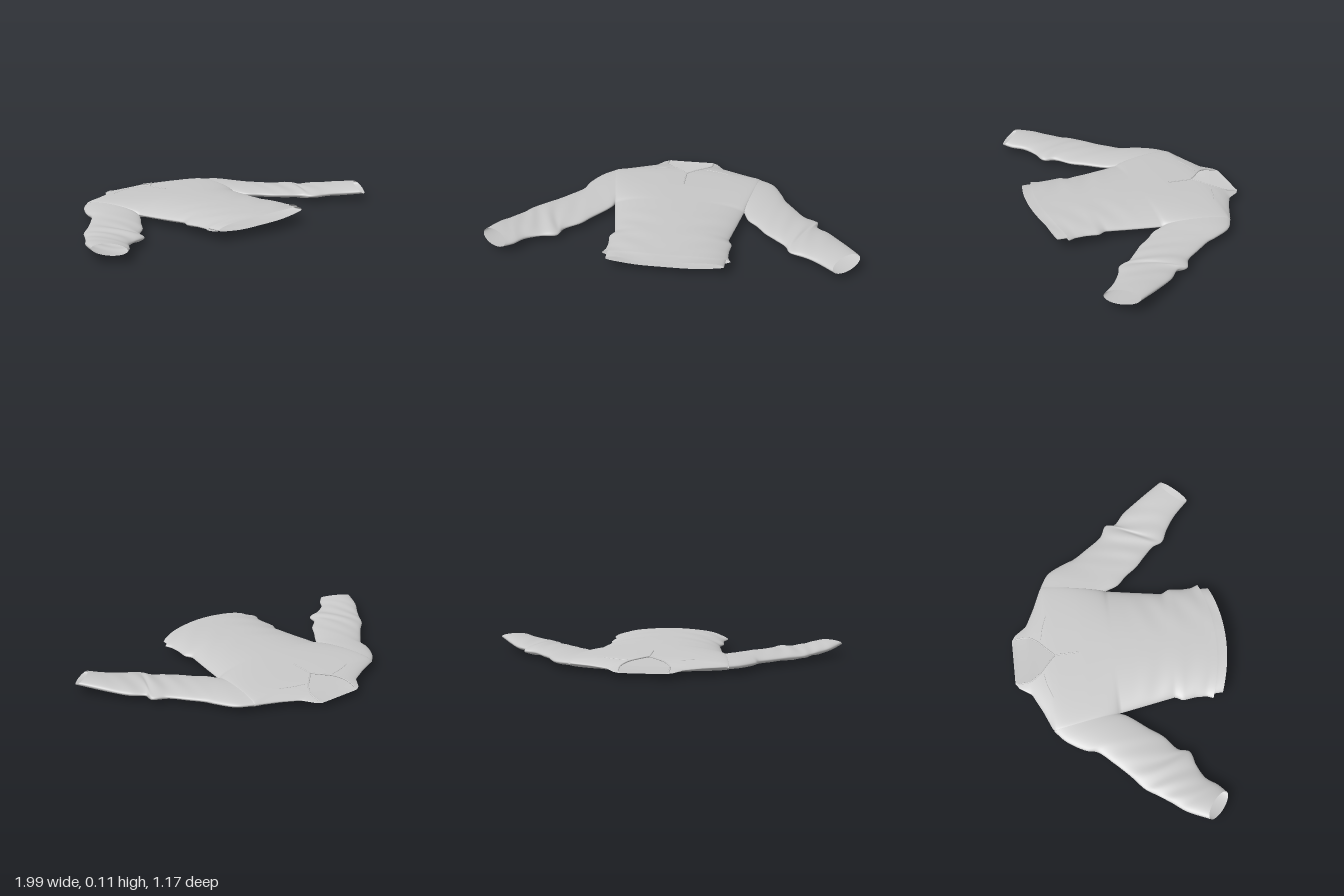
import * as THREE from 'three';
import { mergeGeometries, mergeVertices } from 'three/addons/utils/BufferGeometryUtils.js';

const cloth = new THREE.MeshStandardMaterial({ color: 0xc8c8c8, side: THREE.DoubleSide });
cloth.name = 'light grey cloth';

// Surface through a grid of points fn(row, col)
function sheet(rows, cols, fn, flip) {
  const pos = [], idx = [];
  for (let r = 0; r <= rows; r++) for (let c = 0; c <= cols; c++) pos.push(...fn(r, c));
  for (let r = 0; r < rows; r++) for (let c = 0; c < cols; c++) {
    const a = r * (cols + 1) + c, b = a + cols + 1, d = a + 1, e = b + 1;
    if (flip) idx.push(a, d, b, d, e, b);
    else idx.push(a, b, d, b, e, d);
  }
  const g = new THREE.BufferGeometry();
  g.setAttribute('position', new THREE.Float32BufferAttribute(pos, 3));
  g.setIndex(idx);
  return g;
}
function smooth(parts) {
  const g = mergeVertices(mergeGeometries(parts), 1e-4);
  g.computeVertexNormals();
  return g;
}
function mesh(name, geometry) {
  const m = new THREE.Mesh(geometry, cloth);
  m.name = name;
  return m;
}

// Torso stations: z, half width, neck opening half width, top y, bottom y, side edge y
const stations = [
  [-0.585, 0.125, 0.115, 0.032, 0.030, 0.031],
  [-0.565, 0.155, 0.130, 0.040, 0.027, 0.033],
  [-0.50, 0.200, 0.128, 0.058, 0.022, 0.038],
  [-0.45, 0.300, 0.098, 0.070, 0.017, 0.042],
  [-0.40, 0.420, 0.045, 0.078, 0.013, 0.043],
  [-0.355, 0.4125, 0, 0.082, 0.009, 0.043],
  [-0.20, 0.3867, 0, 0.092, 0.001, 0.043],
  [-0.04, 0.360, 0, 0.100, 0.002, 0.043],
  [0.10, 0.335, 0, 0.105, 0.006, 0.046],
  [0.27, 0.305, 0, 0.109, 0.014, 0.052],
  [0.31, 0.327, 0, 0.110, 0.016, 0.053],
  [0.38, 0.318, 0, 0.111, 0.021, 0.056],
  [0.44, 0.320, 0, 0.111, 0.025, 0.058],
  [0.475, 0.335, 0, 0.112, 0.028, 0.060],
];
const hemStations = [
  [0.455, 0.310, 0, 0.107, 0.031, 0.060],
  [0.485, 0.309, 0, 0.106, 0.032, 0.060],
  [0.530, 0.308, 0, 0.107, 0.035, 0.062],
];
function at(table, z) {
  let i = 0;
  while (i < table.length - 2 && z > table[i + 1][0]) i++;
  const t = THREE.MathUtils.clamp((z - table[i][0]) / (table[i + 1][0] - table[i][0]), 0, 1);
  return table[i].map((v, k) => v + (table[i + 1][k] - v) * t);
}
// Height of the cloth; the side edges stay open by the armhole depth
function height(st, x, z, up) {
  const [, w, , T, B, M] = st;
  const s = Math.min(1, Math.abs(x) / w);
  const hole = 0.029 * Math.sqrt(Math.max(0, 1 - ((z + 0.22) / 0.18) ** 2));
  const edge = up ? M + hole : M - hole;
  const dome = Math.pow(Math.max(0, 1 - Math.pow(s, 2.4)), 0.6);
  const fold = 0.003 * Math.sin(z * 42 + s * 5) * s * s * (1 - s) * 4
    * THREE.MathUtils.smoothstep(z, 0, 0.25);
  return edge + ((up ? T : B) - edge) * dome + fold;
}
const bow = (z, s) => 0.055 * (1 - s * s) * THREE.MathUtils.smoothstep(z, 0.15, 0.5);

function torsoShell(table, rows) {
  const z0 = table[0][0], z1 = table[table.length - 1][0], half = 24;
  const point = (up) => (r, c) => {
    const z = z0 + (z1 - z0) * r / rows, st = at(table, z);
    // the centre column is doubled so the front can part at the neck
    const left = c <= half;
    const k = left ? (half - c) / half : (c - half - 1) / half;
    const n = up ? st[2] : 0;
    const x = (left ? -1 : 1) * (n + Math.sin(k * Math.PI / 2) * (st[1] - n));
    const s = x / st[1];
    return [x, height(st, x, z, up), z + (up ? bow(z, s) : 0)];
  };
  // front in two halves, back in one piece
  const cols = half * 2 + 1, front = point(true);
  return smooth([
    sheet(rows, half, front, false),
    sheet(rows, half, (r, c) => front(r, c + half + 1), false),
    sheet(rows, cols, point(false), true),
  ]);
}

// Sleeve rings: outer x, outer z, inner x, inner z, middle y, half thickness
const leftRings = [
  [0.42, -0.40, 0.36, -0.04, 0.043, 0.029],
  [0.50, -0.35, 0.37, -0.01, 0.042, 0.029],
  [0.555, -0.25, 0.39, 0.035, 0.040, 0.028],
  [0.575, -0.20, 0.44, 0.085, 0.039, 0.028],
  [0.63, -0.12, 0.49, 0.15, 0.038, 0.027],
  [0.70, -0.03, 0.545, 0.20, 0.038, 0.028],
  [0.765, 0.005, 0.605, 0.26, 0.038, 0.030],
  [0.765, 0.055, 0.63, 0.315, 0.039, 0.026],
  [0.83, 0.115, 0.70, 0.35, 0.043, 0.028],
  [0.90, 0.21, 0.78, 0.405, 0.051, 0.027],
  [0.99, 0.345, 0.86, 0.485, 0.064, 0.021],
];
const rightRings = [
  [0.42, -0.40, 0.36, -0.04, 0.043, 0.029],
  [0.485, -0.34, 0.37, -0.01, 0.042, 0.029],
  [0.545, -0.24, 0.40, 0.035, 0.040, 0.028],
  [0.56, -0.18, 0.46, 0.11, 0.039, 0.028],
  [0.63, -0.10, 0.51, 0.18, 0.038, 0.027],
  [0.71, -0.02, 0.59, 0.25, 0.038, 0.028],
  [0.79, 0.05, 0.61, 0.31, 0.038, 0.030],
  [0.83, 0.11, 0.69, 0.335, 0.041, 0.026],
  [0.88, 0.18, 0.765, 0.375, 0.046, 0.028],
  [0.935, 0.25, 0.81, 0.435, 0.053, 0.027],
  [0.99, 0.365, 0.855, 0.475, 0.064, 0.021],
];
function sleeve(rings, side) {
  const path = (k) => new THREE.CatmullRomCurve3(
    rings.map((q) => new THREE.Vector3(q[k], q[k + 1], 0)), false, 'centripetal');
  const outer = path(0), inner = path(2), body = path(4);
  const rows = 90, cols = 40;
  const g = sheet(rows, cols, (r, c) => {
    const u = r / rows, a = (c % cols) / cols * Math.PI * 2;
    const o = outer.getPoint(u), i = inner.getPoint(u), b = body.getPoint(u);
    const ca = Math.cos(a), sa = Math.sin(a);
    const cuff = THREE.MathUtils.smoothstep(u, 0.82, 1);
    // diagonal creases gather around the elbow
    const crease = Math.sin(u * 46 + ca * 3) * 0.0035 * Math.exp(-(((u - 0.62) / 0.2) ** 2)) * sa;
    // the cuff mouth leans back so that it opens upwards
    const lean = -0.03 * cuff * sa;
    return [
      side * ((o.x + i.x) / 2 + ca * (o.x - i.x) / 2 + lean * 0.7),
      b.x + sa * b.y + crease + cuff * ca * 0.008,
      (o.y + i.y) / 2 + ca * (o.y - i.y) / 2 + lean * 0.7,
    ];
  }, side > 0);
  return smooth([g]);
}

// Stitching laid on the front of the torso
function stitch(name, points, radius) {
  const curve = new THREE.CatmullRomCurve3(points.map(([x, z]) =>
    new THREE.Vector3(x, height(at(stations, z), x, z, true), z)));
  return mesh(name, new THREE.TubeGeometry(curve, 32, radius, 6));
}

export function createModel() {
  const model = new THREE.Group();
  model.name = 'pullover';
  model.add(mesh('torso', torsoShell(stations, 106)));
  model.add(mesh('hemBand', torsoShell(hemStations, 10)));
  model.add(mesh('leftSleeve', sleeve(leftRings, 1)));
  model.add(mesh('rightSleeve', sleeve(rightRings, -1)));
  for (const [side, name] of [[1, 'left'], [-1, 'right']]) {
    const neck = stations.slice(1, 6).map((st) => [side * st[2], st[0]]);
    model.add(stitch(name + 'CollarEdge', neck, 0.004));
    model.add(stitch(name + 'YokeSeam',
      [[side * 0.1, -0.425], [side * 0.17, -0.41], [side * 0.24, -0.385]], 0.002));
  }
  model.add(stitch('frontPlacket', [[0, -0.355], [0, -0.29], [0, -0.22]], 0.004));
  return model;
}
